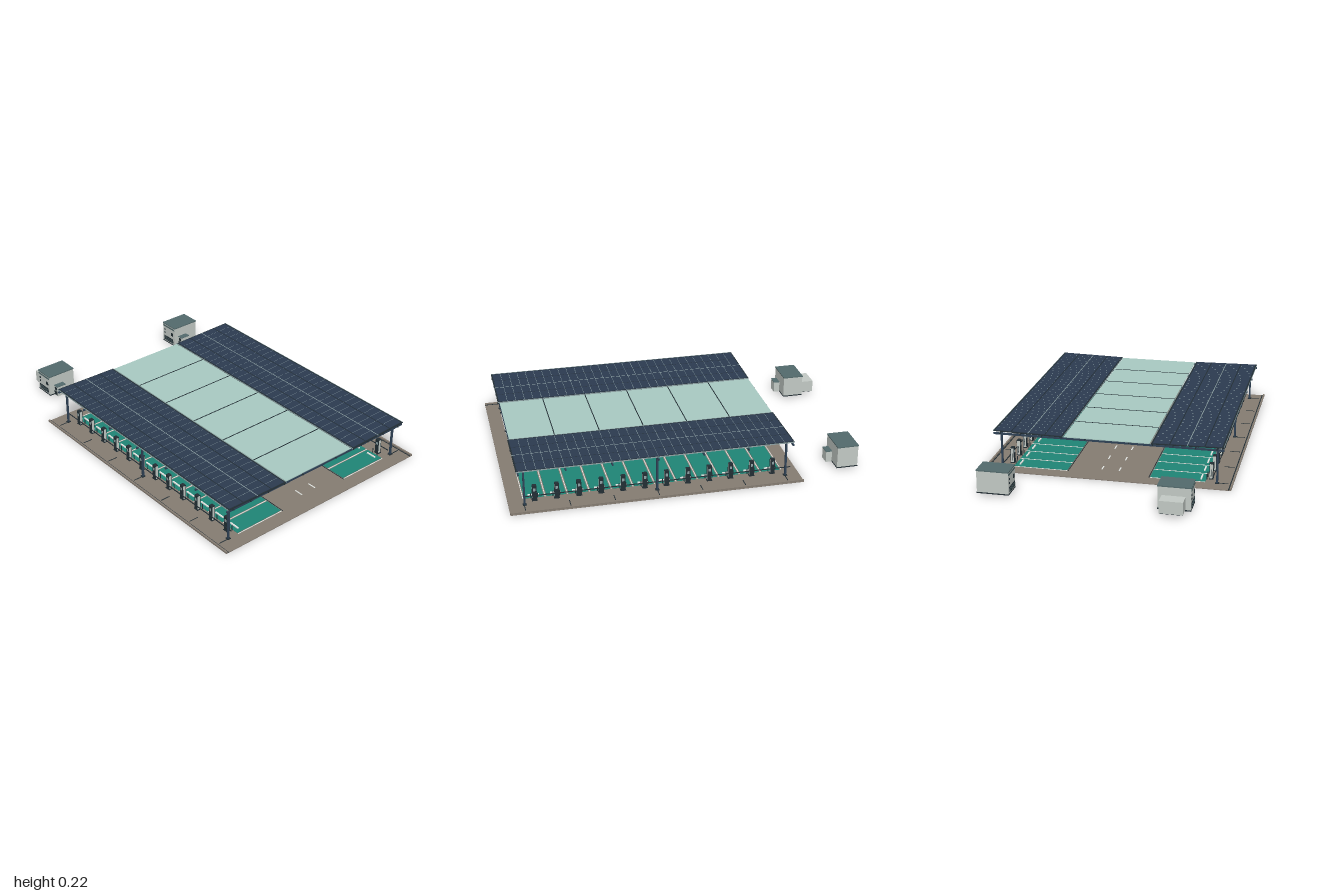
import * as THREE from 'three';
import { mergeGeometries } from 'three/addons/utils/BufferGeometryUtils.js';

const mat = (name, color) => {
  const m = new THREE.MeshStandardMaterial({ color });
  m.name = name;
  return m;
};

export function createModel() {
  const M = {
    paving: mat('warm grey paving', 0x857c72),
    navy: mat('solar navy', 0x2c3b50),
    canopy: mat('pale canopy green', 0xa9cac2),
    dark: mat('dark steel', 0x222e34),
    teal: mat('bay teal', 0x1f8576),
    shell: mat('light grey shell', 0xc3cac5),
    lid: mat('slate lid', 0x536a6c),
    white: mat('line white', 0xe6eae6),
    post: mat('post blue', 0x2f4256),
    trim: mat('panel trim', 0x8fa3a6),
  };
  const root = new THREE.Group();
  root.name = 'solarChargingStation';

  // Box between opposite corners
  const box = (x0, x1, y0, y1, z0, z1) =>
    new THREE.BoxGeometry(x1 - x0, y1 - y0, z1 - z0)
      .translate((x0 + x1) / 2, (y0 + y1) / 2, (z0 + z1) / 2);
  const add = (parent, name, material, geos) => {
    const mesh = new THREE.Mesh(Array.isArray(geos) ? mergeGeometries(geos) : geos, material);
    mesh.name = name;
    parent.add(mesh);
    return mesh;
  };
  // Box given on the front side, placed on side s (+1 front, -1 back)
  const sideBox = (s, x0, x1, y0, y1, z0, z1) =>
    s > 0 ? box(x0, x1, y0, y1, z0, z1) : box(x0, x1, y0, y1, -z1, -z0);

  const bays = 12, pitch = 0.1187, bayStart = -0.507;
  const bayX = i => bayStart + (i + 0.5) * pitch;
  const sides = [1, -1];

  // Ground slab and kerbs
  add(root, 'slab', M.paving, box(-0.59, 1, 0, 0.004, -0.685, 0.68));
  for (const s of sides) {
    add(root, 'kerb', M.paving, sideBox(s, -0.59, 1, 0.004, 0.012, 0.672, 0.682));
    add(root, 'kerbChannel', M.dark, sideBox(s, -0.59, 1, 0.004, 0.0052, 0.664, 0.67));
  }

  // Parking bays with lines and wheel stops
  for (const s of sides) {
    const pads = [], lines = [], stops = [], ticks = [];
    for (let i = 0; i < bays; i++) {
      const x = bayX(i);
      pads.push(sideBox(s, x - 0.052, x + 0.052, 0.004, 0.006, 0.23, 0.53));
      stops.push(sideBox(s, x - 0.03, x + 0.03, 0.006, 0.012, 0.5, 0.508));
    }
    for (let i = 0; i <= bays; i++) {
      const x = bayStart + i * pitch;
      lines.push(sideBox(s, x - 0.002, x + 0.002, 0.004, 0.006, 0.23, 0.53));
      if (i % 2 === 0) ticks.push(sideBox(s, x - 0.002, x + 0.002, 0.004, 0.006, 0.6, 0.655));
    }
    add(root, 'bayFloor', M.teal, pads);
    add(root, 'bayLines', M.white, lines);
    add(root, 'wheelStops', M.white, stops);
    add(root, 'bayEndMarks', M.dark, ticks);
    add(root, 'laneEdge', M.dark, sideBox(s, -0.507, 0.92, 0.004, 0.0055, 0.222, 0.226));
  }
  const dashes = [];
  for (let x = -0.45; x < 0.9; x += 0.16)
    for (const s of sides) dashes.push(sideBox(s, x, x + 0.05, 0.004, 0.0055, 0.045, 0.052));
  add(root, 'laneDashes', M.white, dashes);

  // Charging posts with dark faces, screen, cable and guards
  for (const s of sides) {
    for (let i = 0; i < bays; i++) {
      const g = new THREE.Group();
      g.name = 'charger';
      g.position.set(bayX(i), 0.004, s * 0.555);
      add(g, 'body', M.shell, box(-0.011, 0.011, 0.004, 0.086, -0.008, 0.008));
      add(g, 'facesAndCap', M.dark, [
        box(-0.012, 0.012, 0.004, 0.086, 0.008, 0.01),
        box(-0.012, 0.012, 0.004, 0.086, -0.01, -0.008),
        box(-0.012, 0.012, 0.086, 0.09, -0.01, 0.01),
        box(-0.015, 0.015, 0, 0.004, -0.012, 0.012),
      ]);
      add(g, 'screens', M.trim, [
        box(-0.006, 0.006, 0.058, 0.074, 0.01, 0.011),
        box(-0.006, 0.006, 0.058, 0.074, -0.011, -0.01),
      ]);
      const path = new THREE.CatmullRomCurve3([
        [-0.011, 0.055, 0], [-0.018, 0.035, 0], [-0.016, 0.014, 0], [-0.011, 0.022, 0],
      ].map(p => new THREE.Vector3(...p)));
      add(g, 'cable', M.dark, new THREE.TubeGeometry(path, 8, 0.0015, 5));
      add(g, 'guards', M.dark, sides.map(k =>
        new THREE.CylinderGeometry(0.0025, 0.0025, 0.03, 8).translate(k * 0.017, 0.015, -s * 0.021)));
      root.add(g);
    }
    add(root, 'lowRail', M.dark, sideBox(s, -0.545, 0.915, 0.039, 0.043, 0.572, 0.576));
  }

  // Roof posts, beams and rafters
  for (const s of sides) {
    for (const x of [-0.51, 0.205, 0.915]) {
      add(root, 'roofPost', M.post, sideBox(s, x - 0.005, x + 0.005, 0.004, 0.2, 0.59, 0.6));
      add(root, 'postFoot', M.dark, sideBox(s, x - 0.01, x + 0.01, 0.004, 0.008, 0.585, 0.605));
    }
    for (const z of [0.12, 0.25, 0.36, 0.48, 0.595])
      add(root, 'purlin', M.dark, sideBox(s, -0.545, 0.955, 0.203, 0.209, z - 0.003, z + 0.003));
  }
  const rafters = [], seams = [];
  for (let i = 0; i <= 6; i++) {
    const x = -0.538 + i * 0.247;
    rafters.push(box(x - 0.004, x + 0.004, 0.198, 0.208, -0.632, 0.632));
    if (i > 0 && i < 6) seams.push(box(x - 0.0025, x + 0.0025, 0.213, 0.2145, -0.236, 0.236));
  }
  add(root, 'rafters', M.post, rafters);

  // Central translucent-looking canopy
  add(root, 'canopy', M.canopy, box(-0.54, 0.945, 0.209, 0.213, -0.237, 0.234));
  add(root, 'canopySeams', M.dark, seams);

  // Solar arrays, slightly raised at the outer edges
  const cols = 30, rows = 4, len = 1.5, depth = 0.388;
  for (const s of sides) {
    const g = new THREE.Group();
    g.name = 'solarArray';
    g.position.set(0.205, 0.2165, s * 0.436);
    g.rotation.x = -s * 0.018;
    add(g, 'tray', M.dark, box(-len / 2, len / 2, -0.003, 0.001, -depth / 2, depth / 2));
    const cells = [], bars = [];
    const w = (len - 0.012) / cols, d = (depth - 0.012) / rows;
    for (let c = 0; c < cols; c++)
      for (let r = 0; r < rows; r++) {
        const x = -len / 2 + 0.006 + c * w, z = -depth / 2 + 0.006 + r * d;
        cells.push(box(x + 0.001, x + w - 0.001, 0.001, 0.003, z + 0.003, z + d - 0.003));
        if (c > 0) bars.push(box(x - 0.001, x + 0.001, 0.001, 0.0028, z + 0.005, z + d - 0.005));
      }
    bars.push(box(-len / 2, len / 2, 0.001, 0.0028, -0.002, 0.002));
    add(g, 'cells', M.navy, cells);
    add(g, 'cellBars', M.trim, bars);
    add(g, 'edgeTrim', M.trim, sides.map(k =>
      sideBox(k, -len / 2, len / 2, -0.003, 0.003, depth / 2, depth / 2 + 0.0015)));
    root.add(g);
  }

  // Power cabinets facing the front, each with a side unit
  for (const z of [0.437, -0.517]) {
    const g = new THREE.Group();
    g.name = 'powerCabinet';
    g.position.set(-0.865, 0, z);
    add(g, 'base', M.dark, box(-0.06, 0.06, 0.014, 0.02, -0.087, 0.087));
    add(g, 'body', M.shell, box(-0.059, 0.059, 0.02, 0.137, -0.086, 0.086));
    add(g, 'lid', M.lid, box(-0.061, 0.061, 0.137, 0.143, -0.088, 0.088));
    add(g, 'headBand', M.lid, box(-0.055, 0.055, 0.121, 0.131, 0.086, 0.088));
    add(g, 'ventAndLatches', M.dark, [
      box(-0.045, 0.043, 0.028, 0.056, 0.086, 0.089),
      box(-0.045, -0.036, 0.095, 0.104, 0.086, 0.089),
      box(-0.045, -0.036, 0.073, 0.082, 0.086, 0.089),
      box(0.025, 0.043, 0.078, 0.098, 0.086, 0.089),
    ]);
    add(g, 'ventSlats', M.lid, [0.034, 0.041, 0.048].map(y =>
      box(-0.042, 0.04, y, y + 0.002, 0.089, 0.09)));
    add(g, 'sideUnit', M.shell, box(0.06, 0.094, 0.014, 0.076, -0.003, 0.056));
    add(g, 'sideUnitLid', M.lid, box(0.06, 0.096, 0.076, 0.079, -0.004, 0.058));
    add(g, 'sideUnitDoor', M.dark, [
      box(0.064, 0.091, 0.02, 0.045, 0.056, 0.058),
      box(0.068, 0.087, 0.052, 0.07, 0.056, 0.058),
    ]);
    if (z > 0) {
      add(g, 'annexBox', M.shell, box(-0.135, -0.06, 0.024, 0.092, -0.065, 0.058));
      add(g, 'annexBase', M.dark, box(-0.134, -0.06, 0.022, 0.024, -0.064, 0.057));
    }
    root.add(g);
  }
  return root;
}
